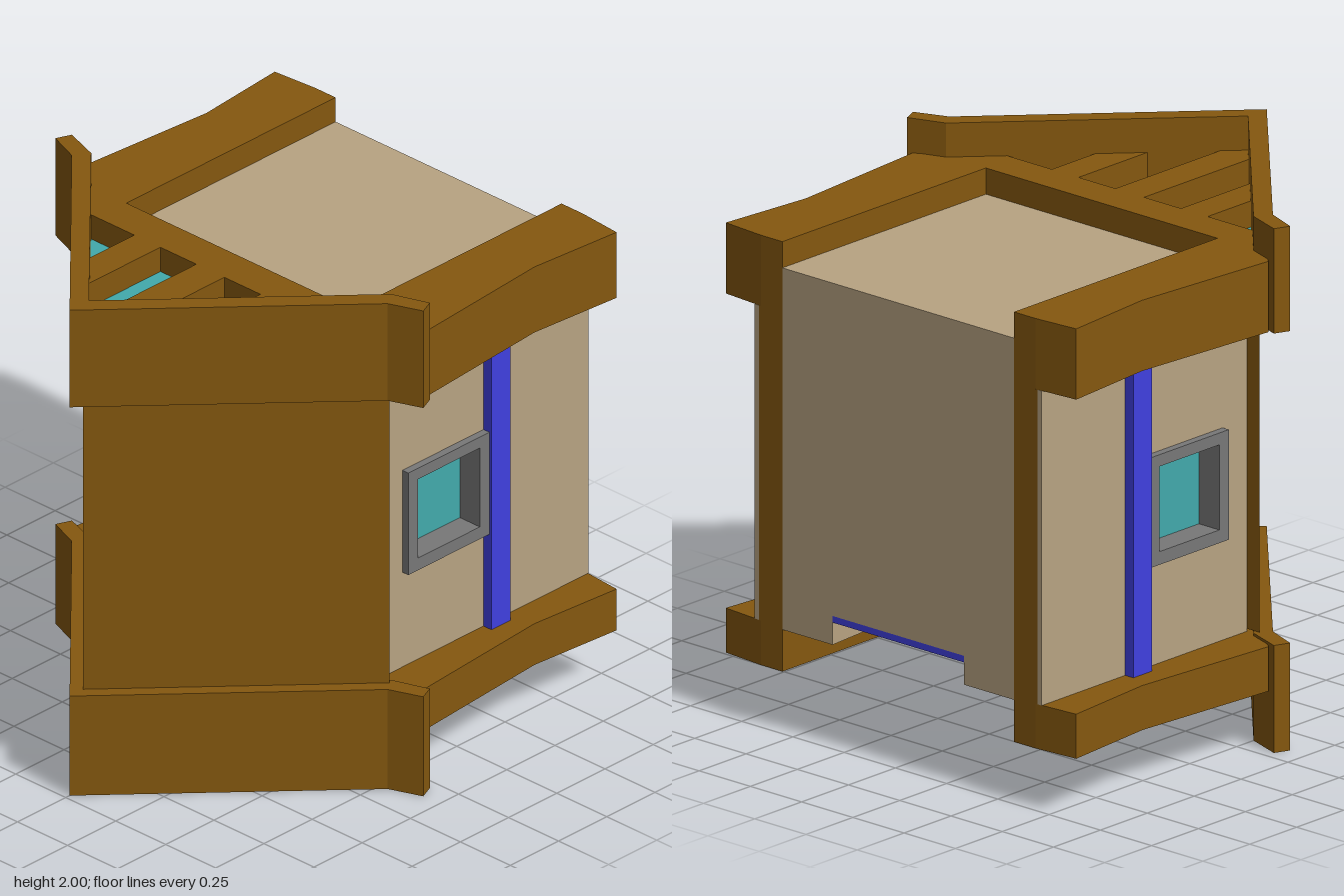
import * as THREE from 'three';

const mat = (color) => new THREE.MeshStandardMaterial({ color, flatShading: true });
const WOOD = mat(0x85580f), BEIGE = mat(0xb8a382), BLUE = mat(0x4040e0);
const TEAL = mat(0x42aaac), GREY = mat(0x787878);

const toShape = (pts) => new THREE.Shape(pts.map(([a, b]) => new THREE.Vector2(a, b)));
const rect = (a0, a1, b0, b1) => [[a0, b0], [a1, b0], [a1, b1], [a0, b1]];

// Closes a half outline (x >= 0) with its mirror image
const mirrored = (half) => [...half, ...half.filter(([x]) => x !== 0).map(([x, z]) => [-x, z]).reverse()];

export function createModel() {
  const model = new THREE.Group();

  function add(name, geometry, material) {
    const mesh = new THREE.Mesh(geometry, material);
    mesh.name = name;
    model.add(mesh);
  }

  // Plan outline in (x, z), standing between two heights
  function slab(name, pts, y0, y1, material) {
    const g = new THREE.ExtrudeGeometry(toShape(pts), { depth: y1 - y0, bevelEnabled: false });
    g.rotateX(Math.PI / 2).translate(0, y1, 0);
    add(name, g, material);
  }

  // Elevation outline in (z, y), between two distances from the middle, on one side
  function panel(name, side, pts, hole, x0, x1, material) {
    const shape = toShape(pts);
    if (hole) shape.holes.push(toShape(hole));
    const g = new THREE.ExtrudeGeometry(shape, { depth: x1 - x0, bevelEnabled: false });
    g.rotateY(-Math.PI / 2).translate(side > 0 ? x1 : -x0, 0, 0);
    add(name, g, material);
  }

  // Wedge-shaped front
  slab('frontWedge', [[-0.76, 0.11], [0.76, 0.11], [0, 0.91]], 0.41, 1.6, WOOD);

  // Floor and roof: V band, side ledges with cross beam, ribs and glazing
  const band = mirrored([[0, 0.98], [0.79, 0.15], [0.92, 0.1], [0.895, 0.04], [0.75, 0.09], [0, 0.88]]);
  const ledges = [
    [0.565, -0.985], [0.67, -0.985], [0.855, -0.97], [0.82, -0.58], [0.87, 0.04], [0.76, 0.12], [0.62, 0.25],
  ];
  const frame = [
    [0.565, 0.1], ...ledges,
    ...ledges.map(([x, z]) => [-x, z]).reverse(), [-0.565, 0.1],
  ];
  const rib = [[0.25, 0.24], [0.38, 0.24], [0.38, 0.5], [0.25, 0.64]];
  const levels = [
    { name: 'roof', band: [1.6, 2], frame: [1.6, 1.87], glass: [1.6, 1.77] },
    { name: 'floor', band: [0, 0.41], frame: [0.23, 0.4], glass: [0.33, 0.41] },
  ];
  for (const l of levels) {
    slab(l.name + 'Band', band, ...l.band, WOOD);
    slab(l.name + 'Frame', frame, ...l.frame, WOOD);
    slab(l.name + 'CentreRib', [[-0.07, 0.24], [0.07, 0.24], [0.07, 0.83], [0, 0.9], [-0.07, 0.83]], ...l.frame, WOOD);
    for (const s of [1, -1]) slab(l.name + 'SideRib', rib.map(([x, z]) => [s * x, z]), ...l.frame, WOOD);
    slab(l.name + 'Glass', [[-0.62, 0.24], [0.62, 0.24], [0, 0.89]], ...l.glass, TEAL);
  }

  // Rear cabin, with a rounded recess cut into its underside and open at the back
  const recess = [[0.32, -0.985], [0.335, -0.78], [0.31, -0.53], [0.19, -0.33], [0, -0.27]];
  const recessOutline = mirrored(recess);
  slab('cabin', rect(-0.565, 0.565, -0.985, 0.11), 0.5, 1.77, BEIGE);
  slab('cabinBase', [
    ...recessOutline, [-0.565, -0.985], [-0.565, 0.11], [0.565, 0.11], [0.565, -0.985],
  ], 0.39, 0.5, BEIGE);
  slab('recessCeiling', recessOutline, 0.475, 0.5, BLUE);

  // Side walls with a deep framed window and an upright stripe
  const wall = rect(-0.985, 0.11, 0.4, 1.6);
  const outer = rect(-0.44, -0.02, 0.79, 1.21);
  const opening = rect(-0.39, -0.07, 0.84, 1.165);
  for (const s of [1, -1]) {
    panel('sideWallCore', s, wall, outer, 0.565, 0.68, WOOD);
    panel('sideWallSkin', s, wall, outer, 0.68, 0.7, BEIGE);
    panel('windowFrame', s, outer, opening, 0.6, 0.73, GREY);
    panel('windowPane', s, opening, null, 0.6, 0.63, TEAL);
    panel('stripe', s, rect(-0.54, -0.44, 0.4, 1.6), null, 0.69, 0.74, BLUE);
  }

  return model;
}
